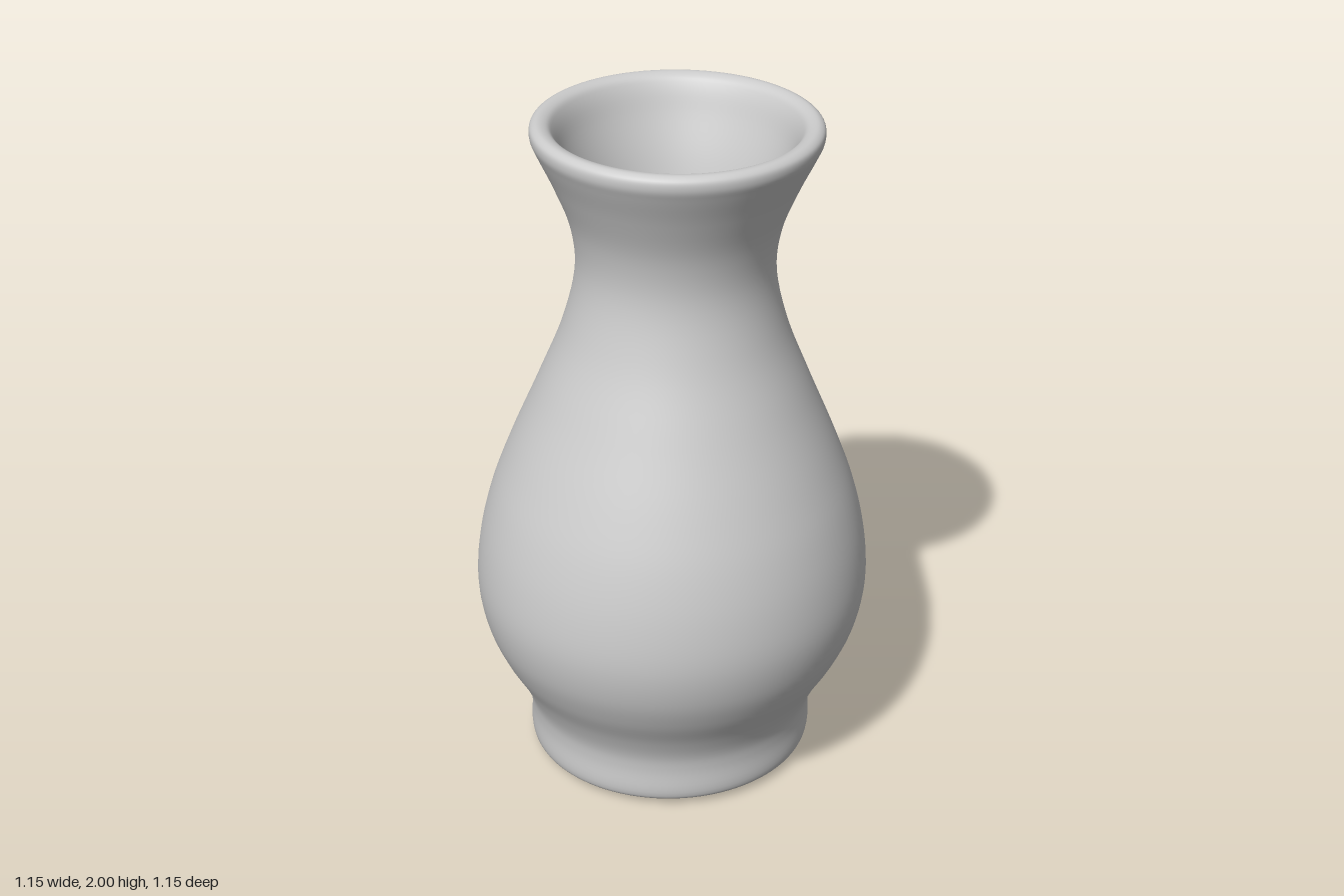
import * as THREE from 'three';

// Smooth curve through a few [radius, height] points
function smoothProfile(points, count) {
  const curve = new THREE.CatmullRomCurve3(
    points.map(([r, y]) => new THREE.Vector3(r, y, 0)), false, 'centripetal');
  return curve.getPoints(count).map(p => new THREE.Vector2(Math.max(0, p.x), p.y));
}

// Hand-thrown look: the vase leans slightly forward and its ends are not quite level
function lean(geometry) {
  const pos = geometry.attributes.position;
  for (let i = 0; i < pos.count; i++) {
    const x = pos.getX(i), y = pos.getY(i), z = pos.getZ(i);
    pos.setXYZ(i, x - 0.002 + 0.006 * y, y + 0.018 * z * (1 - y), z - 0.01 + 0.015 * y);
  }
  geometry.computeBoundingSphere();
  return geometry;
}

export function createModel() {
  const group = new THREE.Group();
  group.name = 'vase';
  const material = new THREE.MeshStandardMaterial({ color: 0xcccccc });

  const addPart = (name, points, count) => {
    const mesh = new THREE.Mesh(
      lean(new THREE.LatheGeometry(smoothProfile(points, count), 96)), material);
    mesh.name = name;
    group.add(mesh);
  };

  // One continuous wall: shallow recessed base, foot, belly, neck, rounded lip, inner well
  addPart('vaseBody', [
    [0, 0.022], [0.15, 0.022], [0.25, 0.02], [0.30, 0.012], [0.35, 0.008],
    [0.395, 0.01], [0.416, 0.02], [0.424, 0.045], [0.423, 0.12], [0.43, 0.175],
    [0.46, 0.25], [0.515, 0.35], [0.555, 0.45], [0.575, 0.57], [0.565, 0.71],
    [0.53, 0.86], [0.475, 1.01], [0.39, 1.21], [0.315, 1.40], [0.279, 1.57],
    [0.293, 1.70], [0.342, 1.83], [0.384, 1.92], [0.398, 1.955], [0.396, 1.98],
    [0.378, 1.992], [0.35, 1.985], [0.332, 1.96], [0.305, 1.89], [0.26, 1.77],
    [0.228, 1.64], [0.215, 1.5], [0.205, 1.38], [0.18, 1.335], [0.13, 1.32], [0, 1.318],
  ], 180);

  return group;
}
